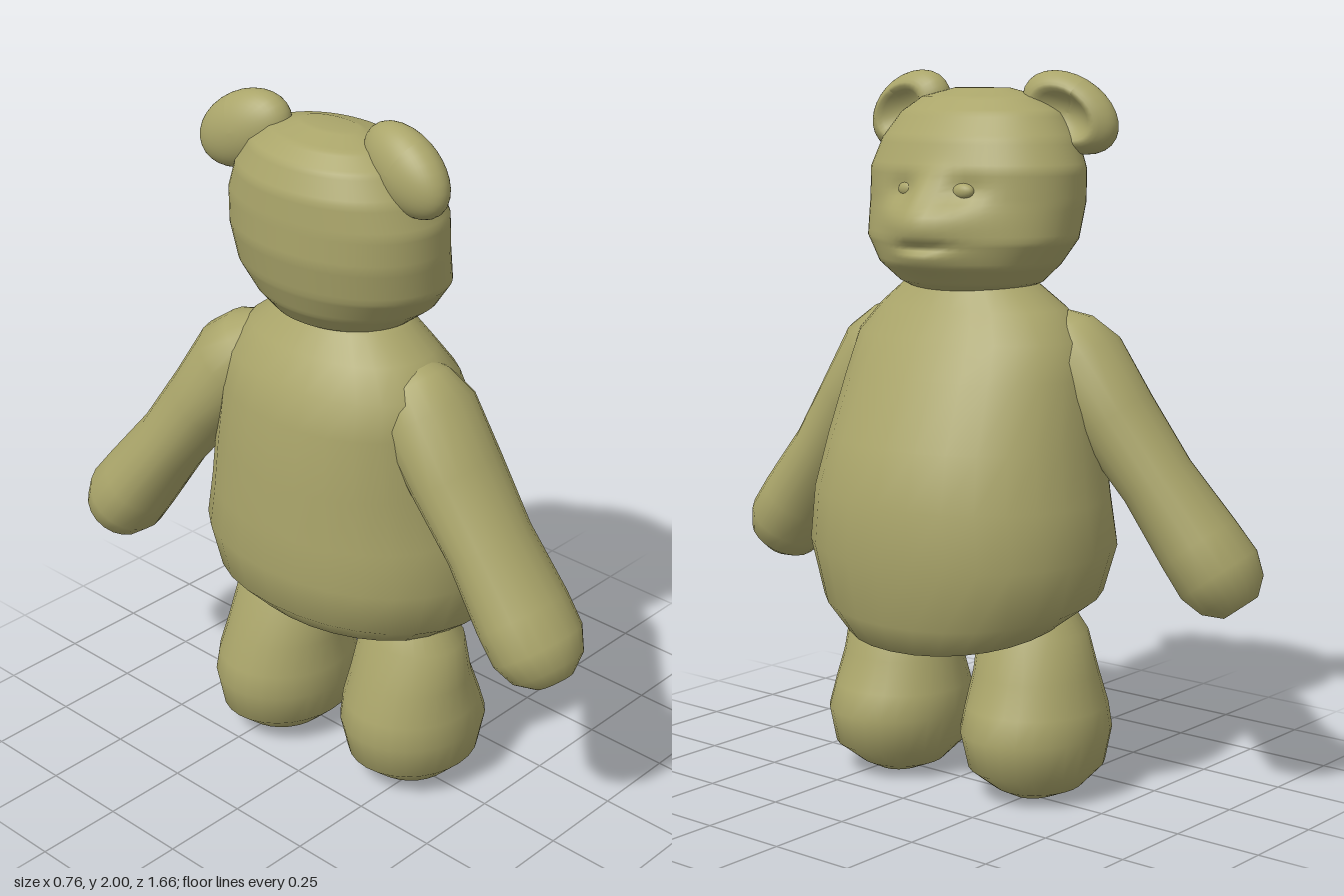
import * as THREE from 'three';

const material = new THREE.MeshStandardMaterial({ color: 0xaaa56a, roughness: 0.8 });

// Closed skin through rings [y, xMin, xMax, zMin, zMax, tilt]; power > 2 squares the section.
function loft(rings, power = 2, sides = 28) {
  const positions = [], index = [];
  const bend = (v) => Math.sign(v) * Math.abs(v) ** (2 / power);
  const tip = ([y, a, b, c, d]) => [y, (a + b) / 2, (a + b) / 2, (c + d) / 2, (c + d) / 2];
  const all = [tip(rings[0]), ...rings, tip(rings[rings.length - 1])];
  all.forEach(([y, x0, x1, z0, z1, tilt = 0], j) => {
    for (let i = 0; i < sides; i++) {
      const a = (i / sides) * Math.PI * 2;
      const c = bend(Math.cos(a)), s = bend(Math.sin(a));
      positions.push((x0 + x1) / 2 + (c * (x1 - x0)) / 2, y - tilt * c, (z0 + z1) / 2 + (s * (z1 - z0)) / 2);
      if (j === all.length - 1) continue;
      const p = j * sides + i, q = j * sides + ((i + 1) % sides);
      index.push(p, p + sides, q, q, p + sides, q + sides);
    }
  });
  const geometry = new THREE.BufferGeometry();
  geometry.setAttribute('position', new THREE.Float32BufferAttribute(positions, 3));
  geometry.setIndex(index);
  geometry.computeVertexNormals();
  return geometry;
}

// Adds evenly blended rings between the given ones.
function subdivide(rings, steps) {
  return rings.flatMap((ring, j) => {
    const next = rings[j + 1];
    if (!next) return [ring];
    return Array.from({ length: steps }, (_, k) => ring.map((v, i) => v + ((next[i] - v) * k) / steps));
  });
}

function add(parent, name, geometry, position = [0, 0, 0]) {
  const mesh = new THREE.Mesh(geometry, material);
  mesh.name = name;
  mesh.position.set(...position);
  parent.add(mesh);
  return mesh;
}

// Face relief on the skull's front: [depth, y, z, height, width]
const relief = [
  [0.075, 1.6, -0.04, 0.075, 0.14], // muzzle
  [0.035, 1.5, -0.04, 0.05, 0.13], // chin
  [-0.03, 1.535, -0.05, 0.012, 0.07], // mouth
  [0.02, 1.68, -0.03, 0.05, 0.04], // nose bridge
  [-0.02, 1.68, 0.07, 0.035, 0.05], // eye sockets
  [-0.02, 1.68, -0.13, 0.035, 0.05],
];

function skullGeometry() {
  const geometry = loft(subdivide([
    [1.41, -0.17, 0.1, -0.17, 0.16], [1.43, -0.21, 0.14, -0.22, 0.2],
    [1.48, -0.25, 0.18, -0.275, 0.265], [1.55, -0.28, 0.185, -0.325, 0.32],
    [1.65, -0.3, 0.165, -0.335, 0.33], [1.74, -0.3, 0.16, -0.335, 0.33],
    [1.82, -0.295, 0.13, -0.3, 0.3], [1.89, -0.265, 0.08, -0.25, 0.25],
    [1.93, -0.22, 0.03, -0.19, 0.19], [1.955, -0.14, -0.05, -0.09, 0.09],
  ], 6), 2.05, 64);
  const p = geometry.attributes.position;
  for (let i = 0; i < p.count; i++) {
    if (p.getX(i) < 0) continue;
    const push = relief.reduce((sum, [depth, y, z, h, w]) =>
      sum + depth * Math.exp(-(((p.getY(i) - y) / h) ** 2) - ((p.getZ(i) - z) / w) ** 2), 0);
    p.setX(i, p.getX(i) + push);
  }
  geometry.computeVertexNormals();
  return geometry;
}

// Flattened ball whose +x face is pressed into a shallow cup.
function earGeometry() {
  const geometry = new THREE.SphereGeometry(1, 28, 28).rotateZ(-Math.PI / 2);
  const p = geometry.attributes.position;
  for (let i = 0; i < p.count; i++) {
    const r = Math.hypot(p.getY(i), p.getZ(i));
    if (p.getX(i) > 0) p.setX(i, p.getX(i) - 0.8 * Math.max(0, 1 - (r / 0.65) ** 2));
  }
  geometry.scale(0.075, 0.1, 0.15);
  geometry.computeVertexNormals();
  return geometry;
}

// Tapered limb running from the shoulder to the paw tip.
function addArm(parent, name, shoulder, paw) {
  const from = new THREE.Vector3(...shoulder);
  const along = new THREE.Vector3(...paw).sub(from);
  const length = along.length();
  const rings = [
    [-0.15, 0.06, 0.05], [-0.08, 0.11, 0.1], [0.03, 0.145, 0.13], [0.25, 0.145, 0.115],
    [0.5, 0.135, 0.105], [0.75, 0.145, 0.118], [0.87, 0.14, 0.122], [0.95, 0.11, 0.1], [1, 0.055, 0.055],
  ].map(([t, rx, rz]) => [t * length, -rx, rx, -rz, rz]);
  const arm = add(parent, name, loft(rings, 2, 20), shoulder);
  arm.quaternion.setFromUnitVectors(new THREE.Vector3(0, 1, 0), along.normalize());
}

export function createModel() {
  const model = new THREE.Group();
  model.name = 'bear';

  // Pear-shaped body, its underside sloping up towards the back
  add(model, 'body', loft([
    [0.465, -0.17, 0.19, -0.2, 0.19, 0.035],
    [0.49, -0.27, 0.31, -0.33, 0.31, 0.05],
    [0.565, -0.335, 0.35, -0.43, 0.4, 0.045],
    [0.71, -0.355, 0.38, -0.475, 0.44, 0.02],
    [0.85, -0.35, 0.375, -0.45, 0.42],
    [1.0, -0.345, 0.335, -0.42, 0.39],
    [1.18, -0.33, 0.245, -0.385, 0.375],
    [1.28, -0.3, 0.19, -0.36, 0.36],
    [1.36, -0.25, 0.135, -0.29, 0.29],
    [1.42, -0.2, 0.1, -0.21, 0.21],
    [1.46, -0.18, 0.08, -0.17, 0.17],
  ], 2.1));

  // Arms
  addArm(model, 'rightArm', [-0.055, 1.23, 0.295], [-0.055, 0.575, 0.77]);
  addArm(model, 'leftArm', [-0.14, 1.23, -0.295], [-0.255, 0.575, -0.77]);

  // Stubby legs swelling into round feet, narrowing up into the body
  const leg = [
    [0.005, -0.05, 0.08, -0.06, 0.06], [0.03, -0.12, 0.13, -0.12, 0.12],
    [0.09, -0.19, 0.21, -0.18, 0.18], [0.19, -0.21, 0.23, -0.205, 0.2],
    [0.26, -0.2, 0.205, -0.195, 0.19], [0.35, -0.17, 0.165, -0.175, 0.175],
    [0.47, -0.135, 0.135, -0.155, 0.16], [0.6, -0.07, 0.06, -0.06, 0.06],
  ];
  const leftLeg = leg.map(([y, x0, x1, z0, z1]) => [y, x0, x1 + 0.02, z0 + y * 0.05, z1 + y * 0.05]);
  add(model, 'rightLeg', loft(leg, 2), [0, 0, 0.215]);
  add(model, 'leftLeg', loft(leftLeg, 2), [-0.065, 0, -0.245]);

  // Head
  const head = new THREE.Group();
  head.name = 'head';
  model.add(head);
  add(head, 'skull', skullGeometry());

  // Closed eyelids
  for (const [name, z] of [['rightEyelid', 0.065], ['leftEyelid', -0.125]]) {
    add(head, name, new THREE.SphereGeometry(1, 20, 14).scale(0.02, 0.022, 0.035), [0.14, 1.685, z]);
  }

  // Cupped ears, tilted outwards
  for (const [name, x, z, tilt, yaw] of [
    ['rightEar', -0.09, 0.255, 0.5, -0.08],
    ['leftEar', -0.145, -0.265, -0.5, 0.18],
  ]) {
    const ear = add(head, name, earGeometry(), [x, 1.89, z]);
    ear.rotation.set(tilt, yaw, 0);
  }
  return model;
}
